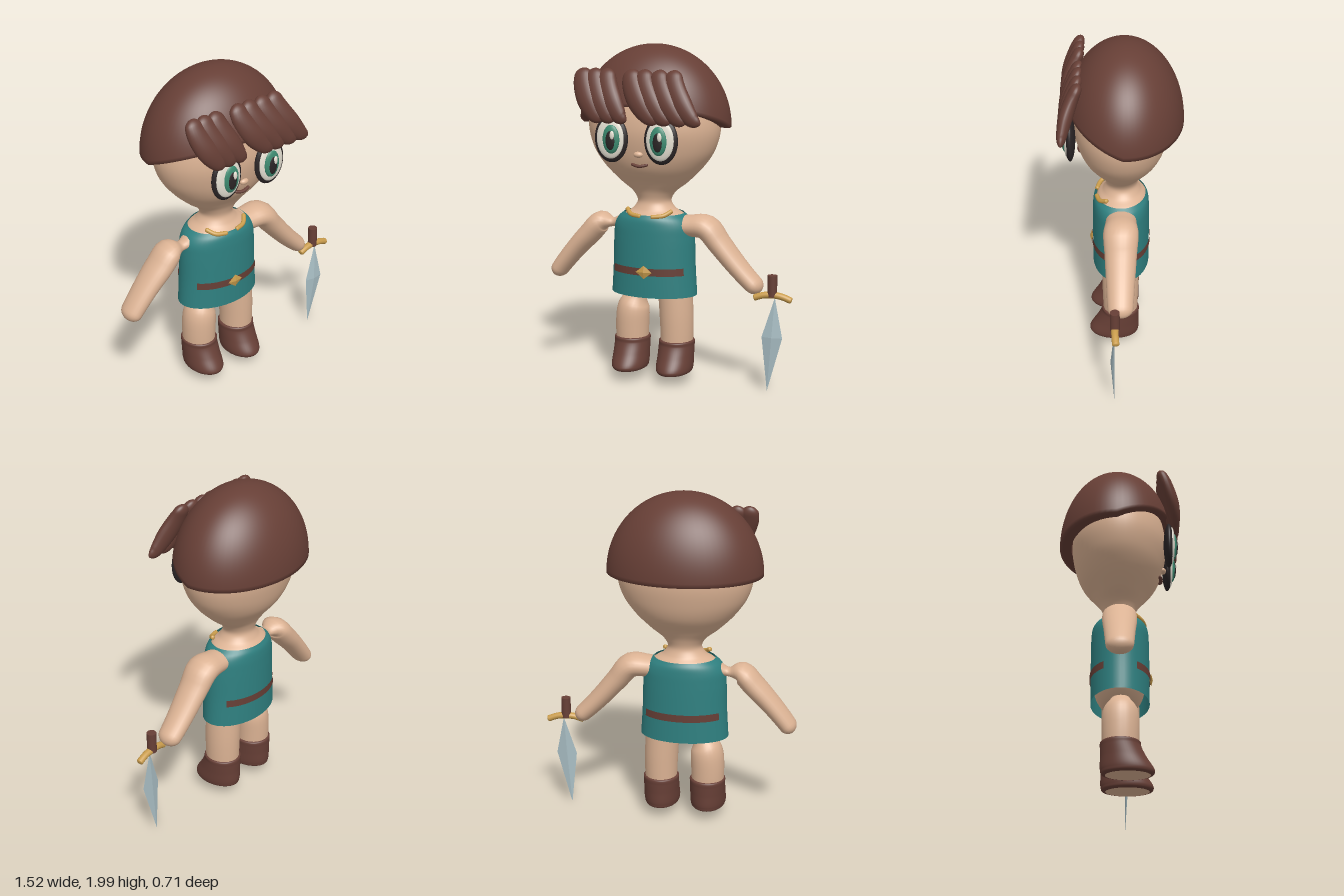
import * as THREE from 'three';
import { ConvexGeometry } from 'three/addons/geometries/ConvexGeometry.js';

const V = (x, y, z) => new THREE.Vector3(x, y, z);
const CX = -0.09; // centre line of the body

function material(name, color, side = THREE.FrontSide) {
  const m = new THREE.MeshStandardMaterial({ color, side });
  m.name = name;
  return m;
}

// Grid surface from f(u, v); closed in u when wrap is true
function surface(f, nu, nv, wrap = true) {
  const pos = [], index = [], cols = wrap ? nu : nu + 1;
  for (let j = 0; j <= nv; j++)
    for (let i = 0; i < cols; i++) pos.push(...f(i / nu, j / nv).toArray());
  for (let j = 0; j < nv; j++)
    for (let i = 0; i < nu; i++) {
      const a = j * cols + i, b = j * cols + (i + 1) % cols;
      index.push(a, b, b + cols, a, b + cols, a + cols);
    }
  const g = new THREE.BufferGeometry();
  g.setAttribute('position', new THREE.Float32BufferAttribute(pos, 3));
  g.setIndex(index);
  g.computeVertexNormals();
  return g;
}

// Upright body through elliptical rings [y, rx, rz, cz], bottom to top
function loft(rings, cx, { nv = 48, from = 0, to = Math.PI * 2 } = {}) {
  const size = new THREE.CatmullRomCurve3(rings.map(r => V(r[1], r[0], r[2])));
  const shift = new THREE.CatmullRomCurve3(rings.map((r, i) => V(r[3] || 0, i, 0)));
  return surface((u, v) => {
    const a = from + u * (to - from), s = size.getPoint(v);
    return V(cx + s.x * Math.sin(a), s.y, shift.getPoint(v).x + s.z * Math.cos(a));
  }, 48, nv, to - from > 6.28);
}

// Rounded limb along points [x, y, z, radius]; depth stretches it across z
function limb(points, depth = 1, round = 0.08) {
  const path = new THREE.CatmullRomCurve3(points.map(p => V(p[0], p[1], p[2])));
  const radii = new THREE.CatmullRomCurve3(points.map((p, i) => V(p[3], i, 0)));
  return surface((u, v) => {
    const t = (1 - Math.cos(Math.PI * v)) / 2;
    const s = Math.min(1, Math.min(t, 1 - t) / round);
    const r = radii.getPoint(t).x * Math.sqrt(Math.max(0, 1 - (1 - s) ** 2));
    const T = path.getTangent(t);
    const A = T.clone().cross(V(0, 0, 1)).normalize(), B = T.clone().cross(A);
    const a = u * Math.PI * 2;
    return path.getPoint(t).addScaledVector(A, r * Math.cos(a)).addScaledVector(B, r * depth * Math.sin(a));
  }, 24, 36);
}

export function createModel() {
  const model = new THREE.Group();
  const skin = material('skin', 0xdcb394);
  const brown = material('hair and leather brown', 0x673f36, THREE.DoubleSide);
  const teal = material('tunic teal', 0x2f8080, THREE.DoubleSide);
  const gold = material('gold', 0xc99c4c);
  const steel = material('steel', 0xa9bec4);
  const black = material('eye rim black', 0x2b2526);
  const white = material('eye white', 0xe9e4d6);
  const green = material('iris green', 0x3c8a70);

  const add = (name, geometry, mat) => {
    const mesh = new THREE.Mesh(geometry, mat);
    mesh.name = name;
    model.add(mesh);
    return mesh;
  };
  const ball = (name, mat, x, y, z, rx, ry, rz) => {
    const m = add(name, new THREE.SphereGeometry(1, 32, 20), mat);
    m.position.set(x, y, z);
    m.scale.set(rx, ry, rz);
  };

  // Torso, neck and head in one smooth skin
  add('bodyAndHead', loft([
    [0.505, 0.02, 0.02], [0.53, 0.16, 0.1], [0.6, 0.22, 0.14], [0.75, 0.232, 0.15], [0.92, 0.225, 0.15],
    [1.0, 0.19, 0.146], [1.045, 0.125, 0.11], [1.09, 0.1, 0.092], [1.14, 0.125, 0.105],
    [1.2, 0.2, 0.142], [1.3, 0.3, 0.22], [1.4, 0.366, 0.258], [1.53, 0.397, 0.278],
    [1.7, 0.36, 0.25], [1.88, 0.2, 0.15],
  ].map(r => [...r, -0.007]), CX, { nv: 90 }), skin);

  // Tunic, open at the hem
  add('tunic', loft([
    [0.535, 0.262, 0.168], [0.7, 0.252, 0.168], [0.88, 0.246, 0.167],
    [0.95, 0.238, 0.165], [0.99, 0.216, 0.16], [1.02, 0.18, 0.146],
  ].map(r => [...r, -0.002]), CX), teal);

  // Belt bands on front and back, with a diamond buckle
  for (const [name, mid] of [['beltFront', 0], ['beltBack', Math.PI]])
    add(name, loft([[0.668, 0.259, 0.173, -0.002], [0.712, 0.257, 0.173, -0.002]], CX,
      { nv: 2, from: mid - 1.0, to: mid + 1.0 }), brown);
  add('buckle', new ConvexGeometry([
    V(CX - 0.05, 0.69, 0.175), V(CX + 0.05, 0.69, 0.175), V(CX, 0.73, 0.175), V(CX, 0.65, 0.175),
    V(CX, 0.69, 0.185), V(CX, 0.69, 0.165)]), gold);

  // Collar pieces
  for (const s of [-1, 1])
    add(s < 0 ? 'rightCollar' : 'leftCollar', limb([
      [CX + s * 0.14, 1.045, 0.075, 0.013], [CX + s * 0.1, 1.02, 0.12, 0.013],
      [CX + s * 0.03, 1.012, 0.142, 0.013]], 1, 0.06), gold);

  // Arms: the right one pinched at the shoulder, the left holding the sword
  add('rightArm', limb([
    [-0.27, 0.96, -0.005, 0.05], [-0.35, 0.94, -0.005, 0.026], [-0.425, 0.94, -0.005, 0.062],
    [-0.5, 0.865, -0.005, 0.066], [-0.59, 0.77, -0.005, 0.06], [-0.67, 0.675, -0.005, 0.055],
    [-0.735, 0.59, -0.005, 0.05]], 1.45), skin);
  add('leftArm', limb([
    [0.03, 0.94, -0.005, 0.06], [0.14, 0.95, -0.005, 0.064], [0.235, 0.945, -0.005, 0.072],
    [0.31, 0.86, -0.005, 0.066], [0.4, 0.755, -0.005, 0.06], [0.48, 0.67, -0.005, 0.055],
    [0.565, 0.59, -0.005, 0.05]], 1.42), skin);

  // Legs
  add('rightLeg', limb([
    [-0.17, 0.64, 0, 0.07], [-0.195, 0.53, 0, 0.052], [-0.22, 0.45, 0, 0.092],
    [-0.23, 0.35, 0, 0.1], [-0.23, 0.1, 0, 0.09]], 1.05), skin);
  add('leftLeg', limb([
    [0.03, 0.66, 0, 0.1], [0.045, 0.5, 0, 0.101], [0.052, 0.35, 0, 0.099], [0.052, 0.1, 0, 0.09]], 1.08), skin);

  // Boots with pale soles
  for (const [side, x] of [['right', -0.23], ['left', 0.052]]) {
    add(side + 'Boot', loft([
      [0.07, 0.082, 0.125, 0.04], [0.078, 0.1, 0.145, 0.038], [0.1, 0.106, 0.149, 0.037],
      [0.17, 0.106, 0.128, 0.016], [0.23, 0.106, 0.114, 0.001], [0.255, 0.106, 0.112, 0], [0.262, 0.095, 0.1, 0],
    ], x), brown);
    const sole = add(side + 'Sole', new THREE.CircleGeometry(1, 32), skin);
    sole.rotation.x = Math.PI / 2;
    sole.scale.set(0.083, 0.126, 1);
    sole.position.set(x, 0.071, 0.04);
  }

  // Hair cap: half ellipsoid, cut higher at the front, with a turned-in brim
  add('hairCap', surface((u, v) => {
    const a = u * Math.PI * 2;
    const edge = Math.atan2(0.47, 0.015 + 0.126 * Math.max(0, Math.cos(a)) - 0.015 * (Math.cos(a) < 0 ? 1 : 1 - Math.cos(a)));
    const row = Math.round((1 - v) * 34), phi = edge * Math.min(1, row / 30);
    const k = 1 - 0.05 * Math.max(0, row - 30); // brim rows shrink towards the head
    return V(CX + 0.453 * k * Math.sin(phi) * Math.sin(a), 1.53 + 0.47 * Math.cos(phi),
      -0.02 + 0.34 * k * Math.sin(phi) * Math.cos(a));
  }, 64, 34), brown);

  // Fringe locks in two clusters
  [-0.43, -0.36, -0.285, -0.135, -0.06, 0.03, 0.115].forEach((x, i) => {
    const w = i < 3 ? 0.8 : 1;
    add('fringeLock' + (i + 1), limb([
      [x, 1.87, 0.225, 0.045], [x + 0.015 * w, 1.79, 0.262, 0.06], [x + 0.07 * w, 1.69, 0.3, 0.064],
      [x + 0.14 * w, 1.61, 0.32, 0.045], [x + 0.19 * w, 1.585, 0.325, 0.018]], 0.62, 0.12), brown);
  });

  // Eyes, layered from rim to highlight
  for (const [side, x, inward] of [['right', -0.24, 0.01], ['left', 0.06, -0.005]]) {
    const ix = x + inward;
    ball(side + 'EyeRim', black, x, 1.48, 0.283, 0.101, 0.136, 0.03);
    ball(side + 'EyeWhite', white, x, 1.482, 0.299, 0.083, 0.115, 0.02);
    ball(side + 'Iris', green, ix, 1.48, 0.312, 0.051, 0.082, 0.02);
    ball(side + 'Pupil', black, ix, 1.475, 0.325, 0.029, 0.055, 0.011);
    ball(side + 'EyeHighlight', white, ix + 0.013, 1.505, 0.332, 0.013, 0.025, 0.008);
  }

  // Nose and mouth
  ball('nose', skin, CX, 1.39, 0.25, 0.028, 0.018, 0.02);
  add('mouth', limb([
    [CX - 0.052, 1.332, 0.231, 0.008], [CX, 1.322, 0.24, 0.009], [CX + 0.052, 1.332, 0.231, 0.008]], 1.2), brown);

  // Sword
  const grip = add('swordGrip', new THREE.CylinderGeometry(0.028, 0.028, 0.125, 24), brown);
  grip.position.set(0.643, 0.638, 0.025);
  add('swordGuard', limb([
    [0.535, 0.562, 0.035, 0.019], [0.59, 0.58, 0.03, 0.019], [0.645, 0.585, 0.025, 0.02],
    [0.7, 0.578, 0.023, 0.019], [0.758, 0.557, 0.018, 0.019]], 1.1, 0.03), gold);
  add('swordBlade', new ConvexGeometry([
    V(0.66, 0.57, 0.028), V(0.62, 0.01, 0.03), V(0.587, 0.335, 0.04), V(0.71, 0.335, 0.04),
    V(0.648, 0.335, 0.051), V(0.648, 0.335, 0.029)]), steel);

  return model;
}
